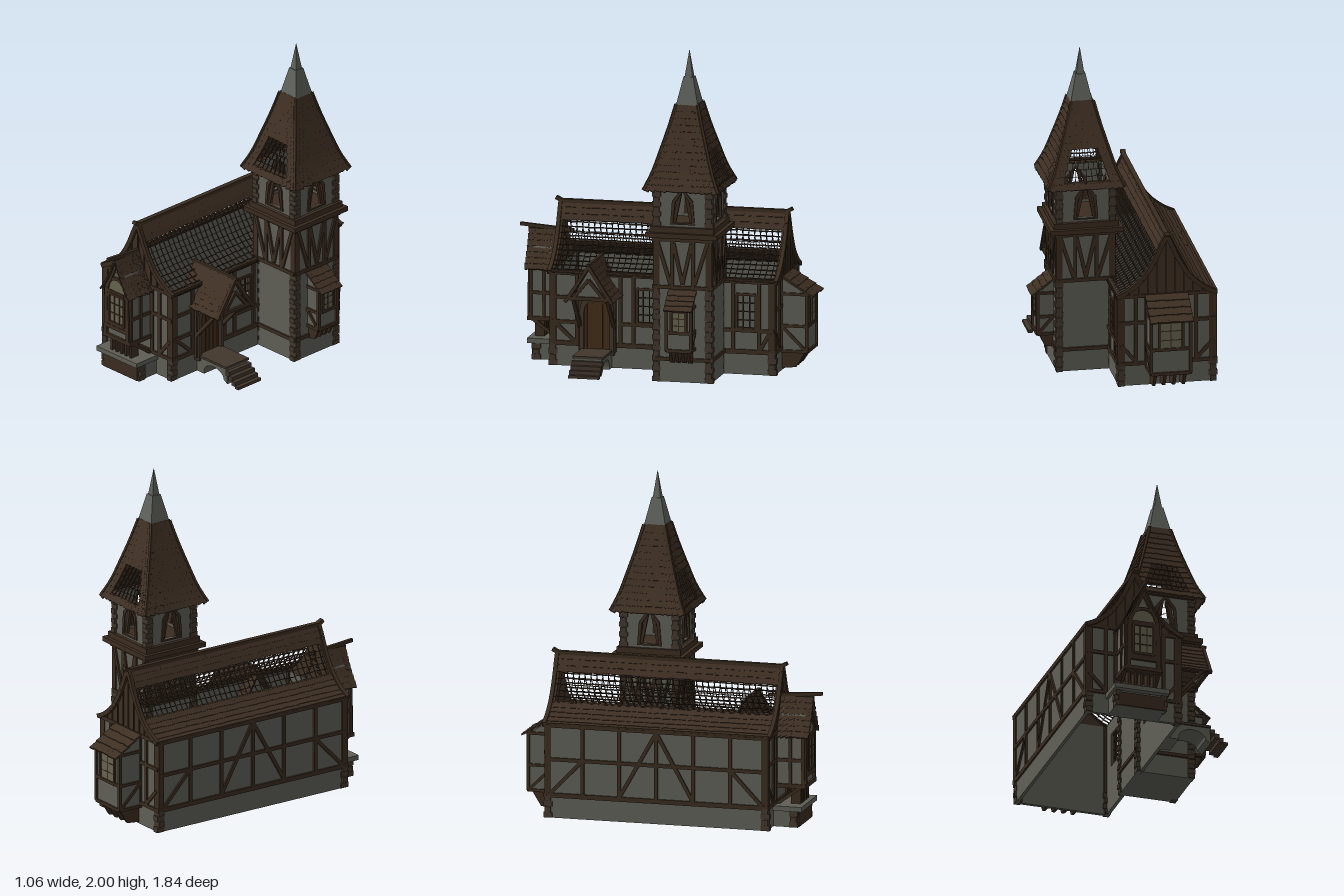
import * as THREE from 'three';
import { mergeGeometries } from 'three/addons/utils/BufferGeometryUtils.js';

const V = (x, y, z) => new THREE.Vector3(x, y, z);

export function createModel() {
  const colours = {
    plaster: 0x5f5f57, timber: 0x3b2c1f, tile: 0x3e2f23, stone: 0x42372c,
    door: 0x452c18, spire: 0x60635c, glass: 0x66634f,
  };
  const mats = {};
  for (const [name, color] of Object.entries(colours)) {
    mats[name] = new THREE.MeshStandardMaterial({ color });
    mats[name].name = name;
  }
  const parts = new Map();

  // Collects flat-shaded pieces by part name and colour
  function add(name, mat, geo) {
    const g = geo.index ? geo.toNonIndexed() : geo;
    g.deleteAttribute('uv');
    g.computeVertexNormals();
    if (!parts.has(name)) parts.set(name, { mat, list: [] });
    parts.get(name).list.push(g);
  }
  function box(name, mat, x0, x1, y0, y1, z0, z1) {
    add(name, mat, new THREE.BoxGeometry(x1 - x0, y1 - y0, z1 - z0)
      .translate((x0 + x1) / 2, (y0 + y1) / 2, (z0 + z1) / 2));
  }
  // Puts a drawing made in (u, y) onto a wall plane: u is x on 'z' walls and z on 'x' walls
  const onWall = (g, ax, c) => ax === 'x' ? g.rotateY(-Math.PI / 2).translate(c, 0, 0) : g.translate(0, 0, c);
  function beam(name, ax, c, u0, v0, u1, v1, w = 0.022, d = 0.018, mat = 'timber') {
    const g = new THREE.BoxGeometry(Math.hypot(u1 - u0, v1 - v0), w, d)
      .rotateZ(Math.atan2(v1 - v0, u1 - u0)).translate((u0 + u1) / 2, (v0 + v1) / 2, 0);
    add(name, mat, onWall(g, ax, c));
  }
  const beams = (name, ax, c, list, w, d) => list.forEach(b => beam(name, ax, c, ...b, w, d));
  const poly = pts => pts.map(p => new THREE.Vector2(p[0], p[1]));
  function slab(name, mat, ax, c, pts, holes = [], depth = 0.02) {
    const s = new THREE.Shape(poly(pts));
    holes.forEach(h => s.holes.push(new THREE.Path(poly(h))));
    add(name, mat, onWall(new THREE.ExtrudeGeometry(s, { depth, bevelEnabled: false }).translate(0, 0, -depth / 2), ax, c));
  }
  const rect = (u0, u1, v0, v1) => [[u0, v0], [u1, v0], [u1, v1], [u0, v1]];
  function archPts(u, half, v0, v1) {
    const pts = [[u - half, v0], [u + half, v0]];
    for (let i = 0; i <= 8; i++) {
      const a = i * Math.PI / 8;
      pts.push([u + half * Math.cos(a), v1 - half + half * Math.sin(a)]);
    }
    return pts;
  }
  // Alternating corner stones
  function quoins(name, x, z, y0, y1) {
    const n = Math.round((y1 - y0) / 0.032), h = (y1 - y0) / n;
    for (let i = 0; i < n; i++) {
      const a = i % 2 ? 0.027 : 0.019, b = i % 2 ? 0.019 : 0.027;
      box(name, 'stone', x - a, x + a, y0 + i * h, y0 + (i + 0.94) * h, z - b, z + b);
    }
  }
  // Window bars and frame
  function lattice(name, ax, c, u0, u1, v0, v1, nu, nv) {
    for (let i = 0; i <= nu; i++) {
      const u = u0 + (u1 - u0) * i / nu;
      beam(name, ax, c, u, v0, u, v1, i % nu ? 0.006 : 0.016, i % nu ? 0.01 : 0.022);
    }
    for (let i = 0; i <= nv; i++) {
      const v = v0 + (v1 - v0) * i / nv;
      beam(name, ax, c, u0, v, u1, v, i % nv ? 0.006 : 0.016, i % nv ? 0.01 : 0.022);
    }
  }
  // One course of shingles between a lower and an upper edge; open ones keep only their rims
  let seed = 7;
  const rnd = () => (seed = (seed * 16807) % 2147483647) / 2147483647;
  function course(name, L0, R0, L1, R1, n, open = () => false) {
    for (let i = 0; i < n; i++) {
      const t = (i + 0.5) / n;
      const a = L0.clone().lerp(R0, t), b = L1.clone().lerp(R1, t);
      const v = b.clone().sub(a), len = v.length() * (1.12 + 0.12 * rnd());
      v.normalize();
      const nn = R0.clone().sub(L0).cross(v).normalize();
      if (nn.y < 0) nn.negate();
      const u = v.clone().cross(nn);
      const w = Math.max(L0.distanceTo(R0), L1.distanceTo(R1)) / n;
      const m = new THREE.Matrix4().makeBasis(u, v, nn)
        .setPosition(b.clone().addScaledVector(v, -len / 2 + 0.003));
      const pieces = open(t) ? [
        new THREE.BoxGeometry(w, 0.003, 0.009).translate(0, -len / 2, 0),
        new THREE.BoxGeometry(0.0025, len, 0.008).translate(w / 2, 0, 0),
      ] : [new THREE.BoxGeometry(w, len, 0.01)];
      pieces.forEach(g => add(name, 'tile', g.rotateX(-0.1).applyMatrix4(m)));
    }
  }
  const curve = (pts, n) => new THREE.SplineCurve(poly(pts)).getSpacedPoints(n);

  // Main hall walls, open below
  const ridgeX = -0.22;
  slab('hallFrontWall', 'plaster', 'z', 0.64, rect(-0.52, 0.07, 0, 0.58));
  slab('hallBackWall', 'plaster', 'z', -0.72, rect(-0.52, 0.07, 0, 0.58));
  slab('hallLeftWall', 'plaster', 'x', -0.51, rect(-0.73, 0.65, 0, 0.58));
  const windows = [[0.005, 0.12], [-0.615, -0.495]];
  slab('hallRightWall', 'plaster', 'x', 0.06, rect(-0.73, 0.65, 0, 0.58), windows.map(w => rect(w[0], w[1], 0.28, 0.49)));
  windows.forEach(w => lattice('hallWindows', 'x', 0.068, w[0], w[1], 0.28, 0.49, 3, 4));

  // Hall timber frame
  const F = 'hallTimbers';
  for (const c of [0.652, -0.732]) {
    beams(F, 'z', c, [[-0.53, 0.57, 0.08, 0.57], [-0.53, 0.14, 0.08, 0.14], [-0.52, 0.4, -0.34, 0.4], [-0.1, 0.4, 0.07, 0.4],
      [-0.4, 0.14, -0.4, 0.57], [-0.34, 0.14, -0.34, 0.57], [-0.1, 0.14, -0.1, 0.57], [-0.035, 0.14, -0.035, 0.57],
      [-0.505, 0.26, -0.4, 0.15], [0.055, 0.26, -0.035, 0.15]]);
  }
  for (const x of [-0.522, 0.072]) beams(F, 'x', x, [[-0.74, 0.57, 0.66, 0.57], [-0.74, 0.14, 0.66, 0.14]], 0.028);
  beams(F, 'x', -0.522, [[-0.73, 0.36, 0.65, 0.36], [-0.5, 0.14, -0.5, 0.57], [-0.27, 0.14, -0.27, 0.57], [-0.04, 0.14, -0.04, 0.57],
    [0.19, 0.14, 0.19, 0.57], [0.42, 0.14, 0.42, 0.57], [-0.5, 0.36, -0.7, 0.15], [-0.27, 0.15, -0.04, 0.56],
    [0.19, 0.15, -0.04, 0.56], [0.42, 0.36, 0.62, 0.15]]);
  beams(F, 'x', 0.072, [[-0.73, 0.27, 0.22, 0.27], [0.49, 0.27, 0.65, 0.27], [0.49, 0.14, 0.49, 0.57], [0.22, 0.14, 0.22, 0.57],
    [0.14, 0.14, 0.14, 0.57], [-0.02, 0.14, -0.02, 0.57], [-0.475, 0.14, -0.475, 0.57], [-0.635, 0.14, -0.635, 0.57],
    [0.63, 0.42, 0.5, 0.42], [0.62, 0.26, 0.5, 0.15], [-0.7, 0.26, -0.64, 0.15]]);
  for (const x of [-0.505, 0.055]) for (const z of [0.638, -0.715]) {
    quoins('hallCorners', x, z, 0, 0.14);
    box(F, 'timber', x - 0.024, x + 0.024, 0.14, 0.58, z - 0.02, z + 0.02);
  }

  // Swept hall roof with gables, bargeboards and an upturned ridge
  const hallProfile = [[0, 0.95], [0.03, 0.89], [0.06, 0.82], [0.1, 0.745], [0.15, 0.675], [0.2, 0.63], [0.25, 0.595], [0.305, 0.57]];
  const rows = curve(hallProfile, 13);
  for (const s of [-1, 1]) {
    for (let i = 0; i < 13; i++) {
      const a = rows[i + 1], b = rows[i], d = (a.x + b.x) / 2;
      const open = d > 0.05 && (s > 0 || d < 0.15);
      course('hallRoof', V(ridgeX + s * a.x, a.y, 0.655), V(ridgeX + s * a.x, a.y, -0.735),
        V(ridgeX + s * b.x, b.y, 0.655), V(ridgeX + s * b.x, b.y, -0.735), 38, () => open);
      for (const z of [0.66, -0.74]) beam('bargeboards', 'z', z, ridgeX + s * a.x, a.y, ridgeX + s * b.x, b.y, 0.028, 0.024);
    }
  }
  const gable = [...rows.map(p => [ridgeX - p.x, p.y]), ...rows.slice(1).reverse().map(p => [ridgeX + p.x, p.y])];
  for (const z of [0.645, -0.725]) {
    slab('gables', 'tile', 'z', z, gable);
    const o = Math.sign(z) * 0.012;
    for (let k = -4; k <= 4; k++) {
      const h = [0.91, 0.81, 0.72, 0.66, 0.61][Math.abs(k)];
      beam('gablePlanks', 'z', z + o, ridgeX + k * 0.055, 0.58, ridgeX + k * 0.055, h, 0.008, 0.008);
    }
  }
  beams('hallRidge', 'x', ridgeX, [[-0.74, 0.95, 0.66, 0.95], [0.65, 0.948, 0.69, 0.968], [-0.73, 0.948, -0.77, 0.968]], 0.022, 0.03);

  // Front bay on its stone base
  const bx = -0.22;
  box('bayBase', 'plaster', -0.38, -0.07, 0, 0.1, 0.65, 0.79);
  box('bayBasePanel', 'timber', -0.365, -0.075, 0, 0.085, 0.79, 0.805);
  box('bayLedge', 'plaster', -0.4, -0.055, 0.1, 0.13, 0.65, 0.83);
  for (const x of [-0.365, -0.08]) quoins('bayBaseStones', x, 0.775, 0, 0.1);
  slab('bayWalls', 'plaster', 'z', 0.735, [[-0.33, 0.24], [-0.11, 0.24], [-0.118, 0.56], [-0.165, 0.66], [bx, 0.77], [-0.275, 0.66], [-0.322, 0.56]], [], 0.18);
  box('bayTimbers', 'timber', -0.34, -0.1, 0.23, 0.255, 0.65, 0.84);
  for (let i = 0; i < 5; i++) {
    const x = -0.3 + i * 0.04;
    box('bayBrackets', 'timber', x - 0.008, x + 0.008, 0.13, 0.24, 0.74, 0.8);
  }
  for (const x of [-0.327, -0.113]) {
    beams('bayTimbers', 'x', x, [[0.66, 0.13, 0.81, 0.24], [0.66, 0.4, 0.83, 0.4], [0.74, 0.24, 0.74, 0.56], [0.82, 0.24, 0.82, 0.56]], 0.02);
  }
  beams('bayTimbers', 'z', 0.83, [[-0.315, 0.25, -0.308, 0.56], [-0.125, 0.25, -0.132, 0.56], [-0.308, 0.56, bx, 0.75],
    [-0.132, 0.56, bx, 0.75], [-0.31, 0.31, -0.13, 0.31], [-0.285, 0.54, -0.155, 0.54]], 0.026, 0.02);
  slab('bayWindowFrame', 'timber', 'z', 0.828, archPts(bx, 0.085, 0.32, 0.65), [archPts(bx, 0.068, 0.335, 0.63)], 0.02);
  slab('bayGlass', 'glass', 'z', 0.828, archPts(bx, 0.07, 0.33, 0.63), [], 0.008);
  lattice('bayWindowBars', 'z', 0.832, bx - 0.065, bx + 0.065, 0.34, 0.53, 3, 3);
  const bayRows = curve([[0, 0.775], [0.04, 0.68], [0.08, 0.605], [0.12, 0.545]], 7);
  for (const s of [-1, 1]) for (let i = 0; i < 7; i++) {
    const a = bayRows[i + 1], b = bayRows[i];
    course('bayRoof', V(bx + s * a.x, a.y, 0.85), V(bx + s * a.x, a.y, 0.65), V(bx + s * b.x, b.y, 0.86), V(bx + s * b.x, b.y, 0.62), 6);
  }
  beam('bayRidge', 'x', bx, 0.58, 0.77, 0.91, 0.795, 0.02, 0.02);

  // Overhanging bays with lean-to roofs, drawn out from a wall at c along direction s
  function leanBay(name, ax, c, s, u, half, out, y0, yEave, yTop, y2) {
    const other = ax === 'x' ? 'z' : 'x', N = part => name + part;
    slab(N('Walls'), 'plaster', other, u, [[c, y0], [c + s * out, y0], [c + s * out, yEave], [c, yTop - 0.015]], [], half * 2);
    const f = c + s * (out + 0.002), m = (y0 + yEave) / 2 - 0.02;
    beams(N('Timbers'), ax, f, [[u - half, y0, u + half, y0], [u - half, yEave, u + half, yEave], [u - half, m, u + half, m],
      [u - half, y0, u - half, yEave], [u + half, y0, u + half, yEave]], 0.02);
    for (const e of [u - half, u + half]) beams(N('Timbers'), other, e, [[c, y0, f, y0], [c, m, f, m], [c, yEave, f, yEave], [c, m, f, y0]], 0.018);
    slab(N('Glass'), 'glass', ax, f, rect(u - half * 0.6, u + half * 0.6, m, yEave - 0.02), [], 0.008);
    lattice(N('WindowBars'), ax, f, u - half * 0.6, u + half * 0.6, m, yEave - 0.02, 2, 3);
    for (let i = 0; i < 4; i++) {
      const e = u + half * (-0.75 + 0.5 * i);
      slab(N('Brackets'), 'timber', other, e, [[c, y2], [c + s * out * 0.55, y2 + 0.01], [c + s * out * 0.95, y0], [c, y0]], [], 0.018);
    }
    const P = (k, t) => {
      const d = c + s * (out + 0.035) * t, y = yTop + (yEave - 0.01 - yTop) * t, e = u + k * (half + 0.012);
      return ax === 'x' ? V(d, y, e) : V(e, y, d);
    };
    for (let i = 0; i < 4; i++) course(N('Roof'), P(-1, (i + 1) / 4), P(1, (i + 1) / 4), P(-1, i / 4), P(1, i / 4), 7);
  }
  leanBay('backBay', 'z', -0.73, -1, -0.22, 0.12, 0.155, 0.12, 0.47, 0.58, 0.01);
  leanBay('towerBay', 'x', 0.39, 1, -0.24, 0.075, 0.095, 0.21, 0.47, 0.56, 0.12);

  // Tower shaft
  const cx = 0.212, cz = -0.24, h = 0.177;
  box('towerShaft', 'plaster', cx - h, cx + h, 0, 0.9, cz - h, cz + h);
  for (const sx of [-1, 1]) for (const sz of [-1, 1]) {
    const x = cx + sx * (h - 0.015), z = cz + sz * (h - 0.015);
    quoins('towerCorners', x, z, 0, 0.57);
    quoins('belfryCorners', x, z, 0.95, 1.19);
    box('towerTimbers', 'timber', x - 0.02, x + 0.02, 0.57, 0.9, z - 0.02, z + 0.02);
  }
  // Cornice carrying the belfry
  for (const [w, y0, y1] of [[0.19, 0.86, 0.885], [0.222, 0.885, 0.915], [0.198, 0.915, 0.95]])
    box('cornice', 'timber', cx - w, cx + w, y0, y1, cz - w, cz + w);
  const opening = u => [[u - 0.058, 0.975], [u + 0.058, 0.975], [u + 0.045, 1.1], [u, 1.165], [u - 0.045, 1.1]];
  const surround = u => [[u - 0.075, 0.965], [u + 0.075, 0.965], [u + 0.064, 1.11], [u, 1.19], [u - 0.064, 1.11]];
  for (const [ax, mid, u] of [['z', cz, cx], ['x', cx, cz]]) for (const s of [-1, 1]) {
    const c = mid + s * (h + 0.002);
    beams('towerTimbers', ax, c, [[u - h, 0.58, u + h, 0.58], [u - h, 0.14, u + h, 0.14], [u - 0.065, 0.58, u - 0.065, 0.87],
      [u + 0.065, 0.58, u + 0.065, 0.87], [u - 0.155, 0.86, u - 0.075, 0.6], [u + 0.155, 0.86, u + 0.075, 0.6],
      [u - 0.055, 0.85, u, 0.6], [u + 0.055, 0.85, u, 0.6]]);
    slab('belfryWalls', 'plaster', ax, mid + s * (h - 0.012), rect(u - h, u + h, 0.94, 1.2), [opening(u)], 0.02);
    slab('belfryArches', 'timber', ax, mid + s * (h - 0.008), surround(u), [opening(u)], 0.03);
    beams('belfryArches', ax, mid + s * (h - 0.015), [[u - 0.054, 0.975, u - 0.018, 1.15], [u + 0.054, 0.975, u + 0.018, 1.15]], 0.02);
    beam('belfryArches', ax, c, u - h, 1.19, u + h, 1.19, 0.025, 0.03);
  }

  // Flared tower roof, partly stripped to the rims on front and back
  const tr = curve([[0.23, 1.175], [0.185, 1.275], [0.145, 1.4], [0.1, 1.55], [0.066, 1.68]], 13);
  for (let k = 0; k < 4; k++) {
    const P = (w, e) => V(e * w, 0, w).applyAxisAngle(V(0, 1, 0), k * Math.PI / 2).add(V(cx, 0, cz));
    const at = (p, e) => P(p.x, e).setY(p.y);
    for (let i = 0; i < 13; i++) {
      const y = (tr[i].y + tr[i + 1].y) / 2;
      course('towerRoof', at(tr[i], -1), at(tr[i], 1), at(tr[i + 1], -1), at(tr[i + 1], 1), Math.max(5, 13 - Math.round(i * 0.7)),
        t => k % 2 === 0 && y > 1.22 && y < 1.42 && Math.abs(t - 0.5) < 0.32);
    }
    const hip = new THREE.CatmullRomCurve3(tr.map(p => at(p, 1)));
    add('towerHips', 'timber', new THREE.TubeGeometry(hip, 12, 0.012, 5));
  }
  // Pointed metal cap
  const cap = (r0, r1, y0, y1) => add('spire', 'spire', new THREE.CylinderGeometry(r1 * Math.SQRT2, r0 * Math.SQRT2, y1 - y0, 4)
    .rotateY(Math.PI / 4).translate(cx + 0.004, (y0 + y1) / 2, cz));
  cap(0.068, 0.03, 1.67, 1.84);
  cap(0.024, 0.001, 1.84, 2);

  // Porch: door, steep roof on struts
  const pz = 0.36;
  slab('doorSurround', 'stone', 'x', 0.085, archPts(pz, 0.105, 0.08, 0.46), [archPts(pz, 0.08, 0.09, 0.42)], 0.04);
  slab('door', 'door', 'x', 0.078, archPts(pz, 0.082, 0.11, 0.42), [], 0.02);
  for (let i = -2; i <= 2; i++) beam('doorPlanks', 'x', 0.089, pz + i * 0.032, 0.12, pz + i * 0.032, 0.39, 0.004, 0.006);
  const pr = curve([[0, 0.665], [0.05, 0.575], [0.1, 0.5], [0.148, 0.445]], 7);
  for (const s of [-1, 1]) {
    for (let i = 0; i < 7; i++) {
      const a = pr[i + 1], b = pr[i];
      course('porchRoof', V(0.32, a.y, pz + s * a.x), V(-0.04, a.y, pz + s * a.x), V(0.32, b.y, pz + s * b.x), V(-0.04, b.y, pz + s * b.x), 10);
    }
    beams('porchFrame', 'x', 0.31, [[pz, 0.66, pz + s * 0.145, 0.44], [pz, 0.58, pz + s * 0.1, 0.46]], 0.02, 0.02);
    beams('porchFrame', 'z', pz + s * 0.105, [[0.07, 0.46, 0.31, 0.46], [0.08, 0.24, 0.27, 0.46], [0.085, 0.1, 0.085, 0.46]], 0.022, 0.022);
  }
  slab('porchGable', 'plaster', 'x', 0.295, [[pz - 0.1, 0.47], [pz + 0.1, 0.47], [pz, 0.64]], [], 0.015);
  beam('porchFrame', 'x', 0.305, pz - 0.12, 0.465, pz + 0.12, 0.465, 0.022, 0.025);
  beam('porchRidge', 'z', pz, -0.05, 0.668, 0.33, 0.672, 0.014, 0.018);

  // Landing on a low arch, and steps
  const arch = [[0.07, 0], [0.13, 0]];
  for (let i = 0; i <= 8; i++) arch.push([0.215 - 0.085 * Math.cos(i * Math.PI / 8), 0.02 + 0.055 * Math.sin(i * Math.PI / 8)]);
  arch.push([0.33, 0], [0.33, 0.1], [0.07, 0.1]);
  slab('landing', 'plaster', 'z', pz, arch, [], 0.17);
  box('landingTop', 'stone', 0.07, 0.33, 0.1, 0.115, pz - 0.095, pz + 0.095);
  for (let i = 0; i < 4; i++) {
    const x = 0.325 + i * 0.027, y = 0.09 - i * 0.024;
    box('steps', 'stone', x, x + 0.03, Math.max(0, y - 0.03), y, pz - 0.095, pz + 0.095);
  }

  const model = new THREE.Group();
  model.name = 'timberHall';
  for (const [name, { mat, list }] of parts) {
    const mesh = new THREE.Mesh(mergeGeometries(list), mats[mat]);
    mesh.name = name;
    model.add(mesh);
  }
  return model;
}
